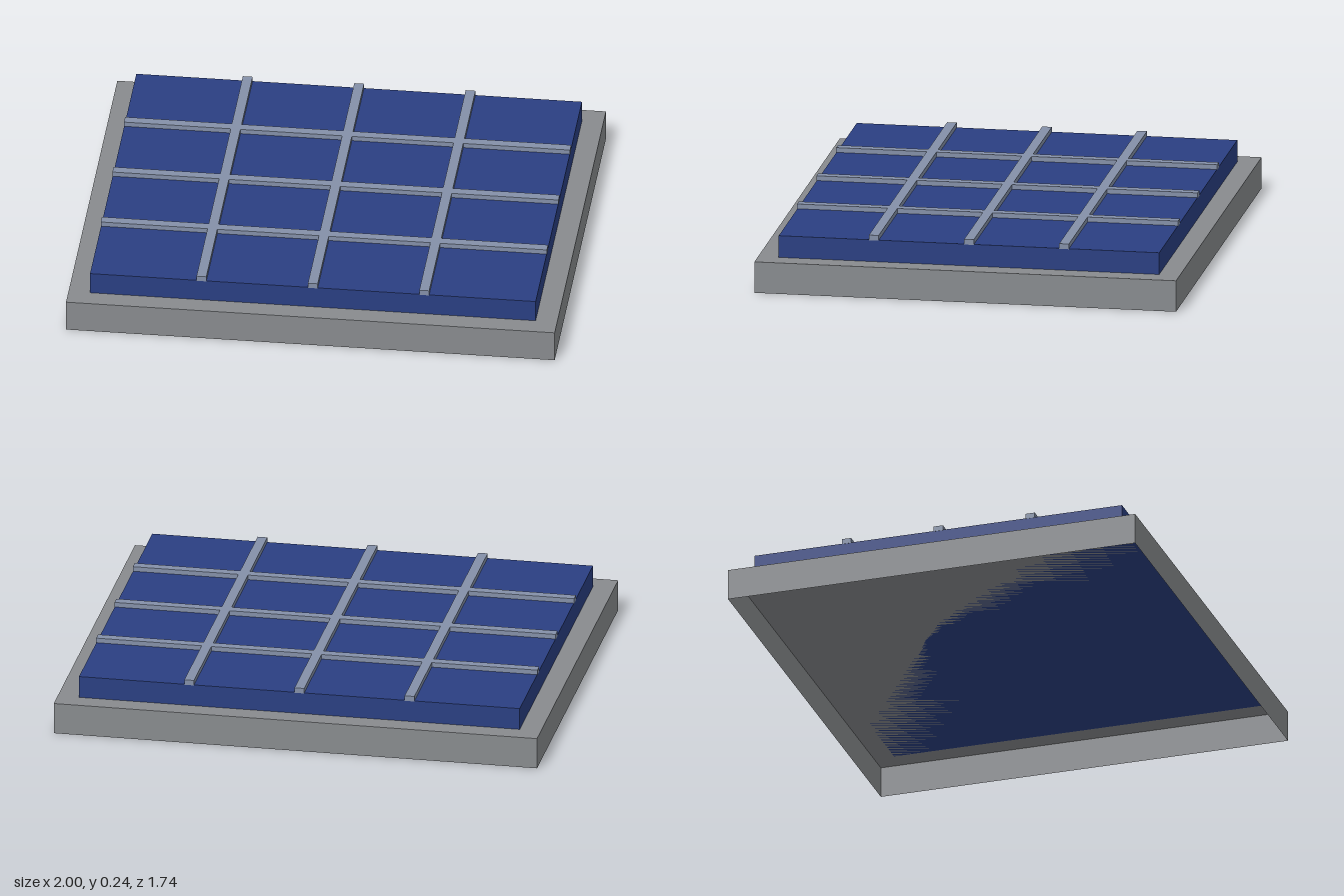
import * as THREE from 'three';

export function createModel() {
  const model = new THREE.Group();
  model.name = 'solarPanel';

  const material = (name, color, side = THREE.FrontSide) => {
    const m = new THREE.MeshStandardMaterial({ color, side });
    m.name = name;
    return m;
  };
  const frameGrey = material('frameGrey', 0x888b8e, THREE.DoubleSide);
  const cellBlue = material('cellBlue', 0x2a3f82);
  const barGrey = material('barGrey', 0x8490a8);

  const add = (name, geometry, mat, x, y, z) => {
    const mesh = new THREE.Mesh(geometry, mat);
    mesh.name = name;
    mesh.position.set(x, y, z);
    model.add(mesh);
  };

  // Base tray: a thin-walled box left open underneath
  const baseHeight = 0.13;
  const tray = new THREE.BoxGeometry(2, baseHeight, 1.74);
  const index = Array.from(tray.index.array);
  index.splice(18, 6); // drop the bottom face
  tray.setIndex(index);
  tray.clearGroups();
  add('baseTray', tray, frameGrey, 0, baseHeight / 2, 0);

  // Blue cell slab
  const width = 1.824, depth = 1.57, slabTop = 0.221;
  const slabHeight = slabTop - baseHeight;
  add('cellSlab', new THREE.BoxGeometry(width, slabHeight, depth), cellBlue, 0, baseHeight + slabHeight / 2, 0);

  // Grid bars dividing the slab into four by four cells
  const barWidth = 0.04, barHeight = 0.022, top = 0.241;
  for (const i of [-1, 0, 1]) {
    add('lengthBar', new THREE.BoxGeometry(barWidth, barHeight, depth + 0.002), barGrey,
      i * width / 4, top - barHeight / 2, 0);
    add('crossBar', new THREE.BoxGeometry(width + 0.002, barHeight, barWidth), barGrey,
      0, top - barHeight / 2, i * depth / 4);
  }

  return model;
}
